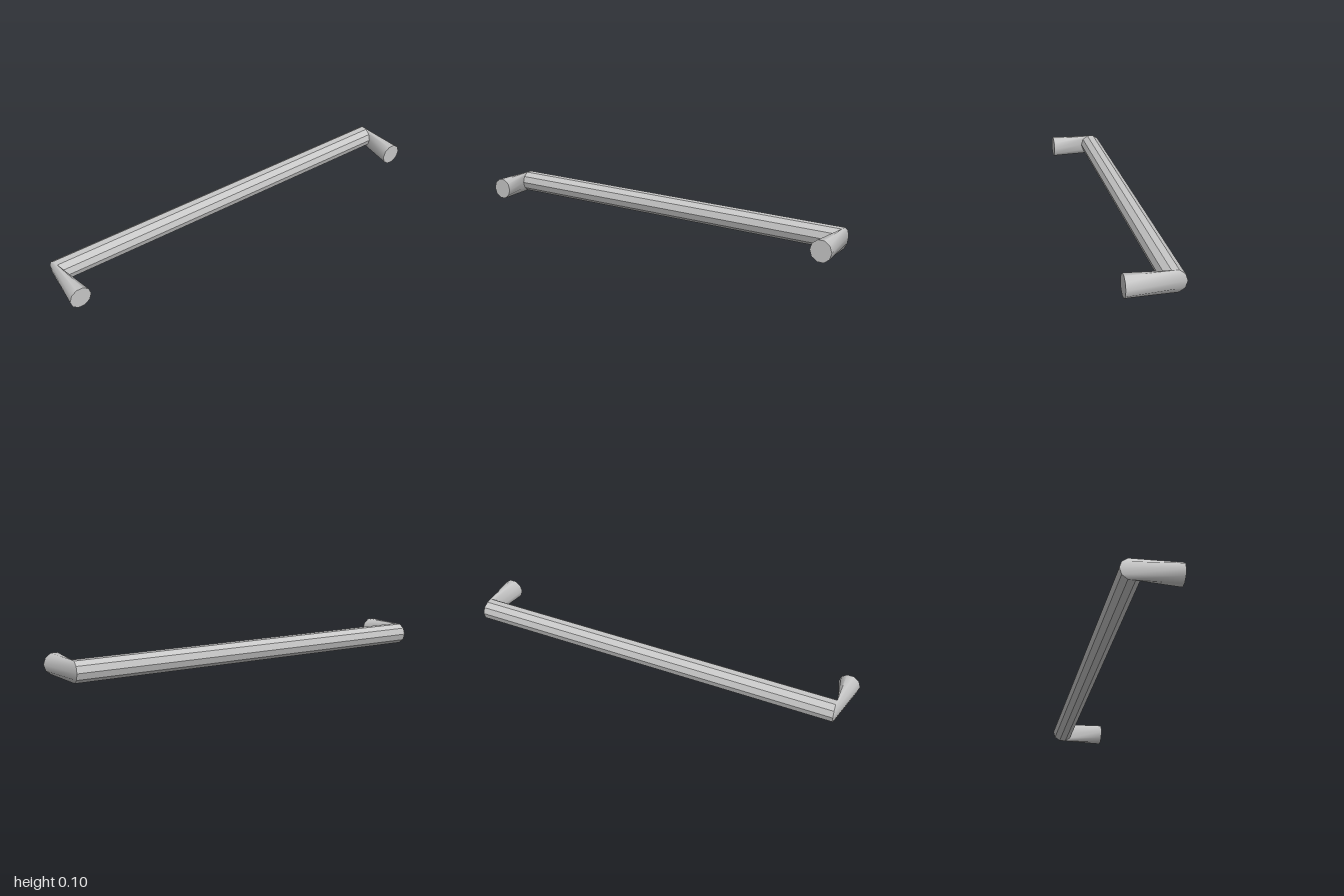
import * as THREE from 'three';

const SIDES = 10, R = 0.0535, Y = 0.051;
const FOOT_X = 0.9465, FOOT_Z = 0.137, CORNER_X = 0.95, BAR_Z = -0.0835;

// Ring of points; angle 0 lies on the outside of the bend
function ring(place) {
  return Array.from({ length: SIDES }, (_, k) => {
    const a = (k / SIDES) * Math.PI * 2;
    return place(Math.cos(a), Y + R * Math.sin(a));
  });
}
const footRing = (s) => ring((c, y) => [s * (FOOT_X + R * c), y, FOOT_Z]);
const cornerRing = (s) => ring((c, y) => [s * (CORNER_X + 0.005 * c), y, BAR_Z - R * c]);

// Open skin between two rings
function loft(from, to) {
  const index = [];
  for (let k = 0; k < SIDES; k++) {
    const n = (k + 1) % SIDES;
    index.push(k, n, SIDES + k, n, SIDES + n, SIDES + k);
  }
  const geometry = new THREE.BufferGeometry();
  geometry.setAttribute('position', new THREE.Float32BufferAttribute([...from, ...to].flat(), 3));
  geometry.setIndex(index);
  geometry.computeVertexNormals();
  return geometry;
}

export function createModel() {
  const model = new THREE.Group();
  model.name = 'barHandle';
  const metal = new THREE.MeshStandardMaterial({ color: 0xc8c8c8 });
  metal.name = 'light grey metal';

  const add = (name, geometry) => {
    const mesh = new THREE.Mesh(geometry, metal);
    mesh.name = name;
    model.add(mesh);
    return mesh;
  };

  // Faceted grip bar
  const bar = loft(cornerRing(-1), cornerRing(1)).toNonIndexed();
  bar.computeVertexNormals();
  add('gripBar', bar);

  // Smooth legs, each turning from the bar to a flat foot
  add('rightLeg', loft(footRing(-1), cornerRing(-1)));
  add('leftLeg', loft(cornerRing(1), footRing(1)));

  // Flat mounting faces
  for (const [name, s] of [['rightFoot', -1], ['leftFoot', 1]]) {
    add(name, new THREE.CircleGeometry(R, SIDES)).position.set(s * FOOT_X, Y, FOOT_Z);
  }
  return model;
}
